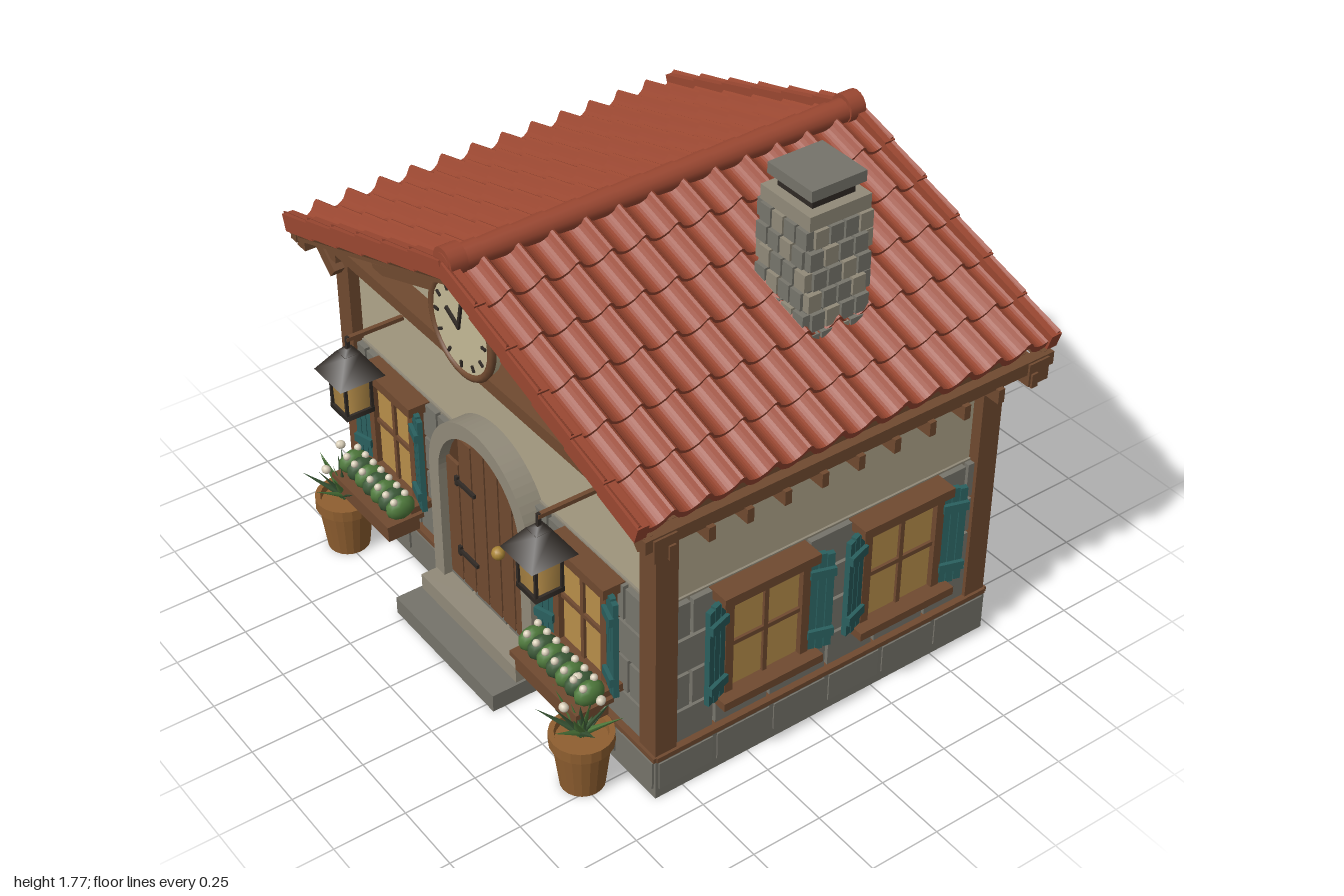
import * as THREE from 'three';

const C = { plaster: 0xb0a58a, stone: 0x77756c, mortar: 0x918a79, base: 0x75736a, wood: 0x704a30, darkWood: 0x573823,
  roof: 0x9a4731, teal: 0x2a605f, glass: 0xb88f4a, iron: 0x302a25, pot: 0x8f5f30, leaf: 0x3c5a38, bush: 0x4f7a3c, petal: 0xd8ceb8, brass: 0xa98436, dial: 0xc4b995 };
const mats = {};
const mat = (c) => mats[c] ??= new THREE.MeshStandardMaterial({ color: c, side: c === C.roof ? THREE.DoubleSide : THREE.FrontSide });
function add(parent, name, geo, color, x = 0, y = 0, z = 0) {
  const m = new THREE.Mesh(geo, mat(color));
  m.name = name;
  m.position.set(x, y, z);
  parent.add(m);
  return m;
}
const box = (p, name, c, w, h, d, x, y, z) => add(p, name, new THREE.BoxGeometry(w, h, d), c, x, y, z);
function group(parent, name, x = 0, y = 0, z = 0, ry = 0) {
  const g = new THREE.Group();
  g.name = name;
  g.position.set(x, y, z);
  g.rotation.y = ry;
  parent.add(g);
  return g;
}
// Beam between two points of a plane facing z
function beam(p, name, c, x1, y1, x2, y2, w, d, z) {
  const m = box(p, name, c, Math.hypot(x2 - x1, y2 - y1), w, d, (x1 + x2) / 2, (y1 + y2) / 2, z);
  m.rotation.z = Math.atan2(y2 - y1, x2 - x1);
}
const extrude = (shape, depth) => new THREE.ExtrudeGeometry(shape, { depth, bevelEnabled: false, curveSegments: 16 });
function archShape(r, y0, yc) {
  const s = new THREE.Shape();
  s.moveTo(-r, y0).lineTo(r, y0).lineTo(r, yc).absarc(0, yc, r, 0, Math.PI, false).lineTo(-r, y0);
  return s;
}

// Window with frame, cross bars and a pair of open plank shutters; z is outward
function makeWindow(wall, x, dist, s) {
  const g = group(wall, 'window', x, 0.51, dist);
  box(g, 'windowGlass', C.glass, 0.29 * s, 0.38, 0.03, 0, 0, 0.035);
  for (const k of [-1, 1]) box(g, 'windowJamb', C.wood, 0.03, 0.4, 0.06, k * 0.145 * s, 0, 0.04);
  box(g, 'windowHeader', C.wood, 0.36 * s, 0.035, 0.08, 0, 0.19, 0.05);
  box(g, 'windowSill', C.wood, 0.38 * s, 0.03, 0.1, 0, -0.2, 0.06);
  box(g, 'windowMullion', C.wood, 0.016, 0.38, 0.02, 0, 0, 0.05);
  box(g, 'windowBar', C.wood, 0.29 * s, 0.016, 0.02, 0, -0.01, 0.05);
  for (const k of [-1, 1]) {
    const sh = group(g, 'shutter', k * 0.2 * s, 0, 0.07, -k * 0.3);
    for (let i = -1; i <= 1; i++) box(sh, 'shutterPlank', C.teal, 0.024 * s, 0.38 - 0.012 * Math.abs(i), 0.018, i * 0.027 * s, 0, 0);
    for (const y of [-0.12, 0.12]) box(sh, 'shutterBatten', C.teal, 0.084 * s, 0.032, 0.016, 0, y, 0.014);
  }
}

// One wall face: base blocks, stone courses, rail and windows
function makeWall(house, name, halfW, dist, ry, windows, s) {
  const w = group(house, name, 0, 0, 0, ry);
  const n = Math.round(halfW * 2 / 0.21), step = halfW * 2 / n;
  for (let i = 0; i < n; i++) box(w, 'baseBlock', i % 3 ? C.base : C.stone, step - 0.018, 0.105, 0.03, -halfW + (i + 0.5) * step, 0.09, dist + 0.035);
  for (let r = 0; r < 4; r++) {
    let a = -halfW + 0.04;
    const end = halfW - 0.04;
    for (let i = 0; a < end - 0.01; i++) {
      const b = Math.min(end, a + (i === 0 && r % 2 ? 0.1 : 0.19 + 0.02 * ((i + r) % 3)));
      box(w, 'wallStone', (i * 2 + r) % 3 ? C.stone : C.base, b - a - 0.012, 0.128, 0.03, (a + b) / 2, 0.226 + r * 0.141, dist + 0.012);
      a = b;
    }
  }
  box(w, 'baseRail', C.wood, halfW * 2, 0.018, 0.04, 0, 0.16, dist + 0.03);
  for (const x of windows) makeWindow(w, x, dist, s);
}

// Rows of barrel tiles for one slope; local x runs down the slope
function makeSlope(house, ry) {
  const side = group(house, 'roofSlope', 0, 1.485, 0, ry);
  const g = group(side, 'tiledSlope');
  g.rotation.z = -0.35;
  const L = 1.02, rows = 6, len = L / rows, half = 0.785, pitch = half * 2 / 13;
  box(g, 'roofDeck', C.darkWood, L - 0.03, 0.03, half * 2 - 0.03, L / 2 - 0.015, -0.015, 0);
  const profile = (t) => t < 0.36 ? 0.022 + 0.026 * Math.sin(Math.PI * t / 0.36) : 0.022 - 0.018 * Math.sin(Math.PI * (t - 0.36) / 0.64);
  for (let r = 0; r < rows; r++) {
    const geo = new THREE.PlaneGeometry(1, 1, 13 * 14, 2), p = geo.attributes.position;
    for (let i = 0; i < p.count; i++) {
      const u = p.getX(i) + 0.5, v = Math.round((p.getY(i) + 0.5) * 2);
      const h = profile((u * 13 + 0.18) % 1);
      // v: 0 lower lip, 1 lower edge, 2 upper edge
      p.setXYZ(i, v === 2 ? r * len - 0.01 : (r + 1) * len, v === 0 ? h - 0.012 : h + (v === 1 ? 0.014 : 0), (0.5 - u) * -2 * half);
    }
    const flat = geo.toNonIndexed();
    flat.computeVertexNormals();
    add(g, 'tileRow', flat, C.roof);
    for (const k of [-1, 1]) {
      const v = box(g, 'vergeTile', C.roof, len + 0.015, 0.06, 0.04, (r + 0.5) * len, 0.018, k * 0.77);
      v.rotation.z = 0.05;
    }
  }
  // Fascia and rafter tails under the eaves
  box(side, 'fascia', C.wood, 0.035, 0.045, 1.53, 0.965, -0.382, 0);
  box(side, 'wallPlate', C.wood, 0.09, 0.05, 1.4, 0.87, -0.385, 0);
  for (let i = 0; i < 11; i++) box(side, 'rafterTail', C.wood, 0.17, 0.05, 0.024, 0.912, -0.425, -0.68 + i * 0.136);
}

// Gable truss, seen with z outward
function makeTruss(house, ry, clock) {
  const g = group(house, 'gableTruss', 0, 0, 0, ry);
  box(g, 'tieBeam', C.wood, 1.94, 0.045, 0.08, 0, 1.1, 0.66);
  box(g, 'kingPost', C.wood, 0.05, 0.33, 0.06, 0, 1.27, 0.65);
  for (const k of [-1, 1]) {
    beam(g, 'trussRafter', C.wood, 0, 1.43, k * 0.93, 1.1, 0.05, 0.07, 0.655);
    beam(g, 'trussStrut', C.wood, k * 0.03, 1.34, k * 0.62, 1.12, 0.035, 0.05, 0.645);
    beam(g, 'kneeBrace', C.wood, k * 0.84, 0.99, k * 0.96, 1.09, 0.045, 0.06, 0.67);
    beam(g, 'bargeBoard', C.wood, 0, 1.455, k * 0.96, 1.105, 0.045, 0.03, 0.745);
    box(g, 'beamEnd', C.wood, 0.05, 0.08, 0.08, k * 0.965, 1.08, 0.7);
  }
  if (!clock) return;
  const c = group(g, 'clock', 0, 1.27, 0.71);
  add(c, 'clockFace', new THREE.CylinderGeometry(0.165, 0.165, 0.04, 32), C.dial).rotation.x = Math.PI / 2;
  add(c, 'clockRim', new THREE.TorusGeometry(0.163, 0.014, 8, 32), C.wood, 0, 0, 0.015);
  for (let i = 0; i < 12; i++) {
    const a = i * Math.PI / 6;
    box(c, 'clockTick', C.iron, 0.009, 0.022, 0.008, 0.13 * Math.sin(a), 0.13 * Math.cos(a), 0.022).rotation.z = -a;
  }
  beam(c, 'hourHand', C.iron, 0, 0, -0.07, 0.04, 0.013, 0.008, 0.025);
  beam(c, 'minuteHand', C.iron, 0, 0, 0.022, 0.1, 0.01, 0.008, 0.028);
}

function makeDoor(house) {
  const d = group(house, 'door', 0, 0, 0.6);
  const frame = archShape(0.288, 0.12, 0.565);
  frame.holes.push(archShape(0.232, 0.121, 0.565));
  add(d, 'doorSurround', extrude(frame, 0.12), C.mortar, 0, 0, -0.02);
  add(d, 'doorBacking', extrude(archShape(0.234, 0.12, 0.565), 0.06), C.darkWood);
  for (let i = 0; i < 6; i++) {
    const x = -0.193 + i * 0.077, top = 0.555 + Math.sqrt(0.232 ** 2 - (Math.abs(x) + 0.03) ** 2);
    box(d, 'doorPlank', C.wood, 0.069, top - 0.14, 0.02, x, (top + 0.14) / 2, 0.062);
  }
  for (const y of [0.27, 0.56]) {
    box(d, 'hinge', C.iron, 0.11, 0.014, 0.012, -0.11, y, 0.076);
    box(d, 'hingePin', C.iron, 0.014, 0.036, 0.012, -0.16, y, 0.076);
  }
  add(d, 'doorKnob', new THREE.SphereGeometry(0.023, 12, 8), C.brass, 0.09, 0.435, 0.088);
  box(d, 'lowerStep', C.base, 0.58, 0.065, 0.3, 0, 0.0325, 0.105);
  box(d, 'upperStep', C.mortar, 0.56, 0.06, 0.2, 0, 0.095, 0.06);
}

// Lantern, planter and potted plant beside the door
function makeFrontDecor(root, k) {
  const l = group(root, 'lantern', k * 0.54, 0, 0.765);
  const four = (name, rt, rb, h, c, y) => add(l, name, new THREE.CylinderGeometry(rt * Math.SQRT2, rb * Math.SQRT2, h, 4).toNonIndexed(), c, 0, y, 0).rotation.y = Math.PI / 4;
  four('lanternGlass', 0.046, 0.042, 0.13, C.glass, 0.755);
  four('lanternBase', 0.052, 0.052, 0.018, C.iron, 0.688);
  four('lanternCollar', 0.052, 0.052, 0.018, C.iron, 0.822);
  four('lanternRoof', 0.028, 0.083, 0.08, C.iron, 0.866);
  four('lanternCap', 0.01, 0.028, 0.02, C.iron, 0.915);
  for (const i of [-1, 1]) for (const j of [-1, 1]) box(l, 'lanternBar', C.iron, 0.01, 0.14, 0.01, i * 0.046, 0.755, j * 0.046);
  box(l, 'lanternHook', C.iron, 0.012, 0.05, 0.012, 0, 0.94, 0);
  box(l, 'lanternArm', C.wood, 0.016, 0.014, 0.21, 0, 0.956, -0.1);

  const b = group(root, 'planter', k * 0.54, 0, 0.7);
  box(b, 'planterBox', C.wood, 0.33, 0.065, 0.12, 0, 0.26, 0);
  box(b, 'planterRim', C.wood, 0.36, 0.018, 0.14, 0, 0.292, 0);
  for (let i = 0; i < 7; i++) {
    const x = -0.15 + i * 0.05;
    add(b, 'bush', new THREE.IcosahedronGeometry(0.045, 1), i % 2 ? C.leaf : C.bush, x, 0.338, 0).scale.set(0.75, 0.95, 1.2);
    for (const z of [-0.025, 0.03]) add(b, 'blossom', new THREE.IcosahedronGeometry(0.013, 1), C.petal, x + z * 0.4, 0.378, z);
  }

  const p = group(root, 'pottedPlant', k * 0.7, 0, 0.737);
  const pts = [[0, 0], [0.072, 0], [0.092, 0.165], [0.103, 0.168], [0.103, 0.208], [0.085, 0.208], [0.082, 0.185], [0, 0.185]];
  add(p, 'pot', new THREE.LatheGeometry(pts.map((q) => new THREE.Vector2(...q)), 20).toNonIndexed(), C.pot).geometry.computeVertexNormals();
  for (let i = 0; i < 18; i++) {
    const tilt = 0.25 + 0.33 * (i % 3), len = 0.15 + 0.012 * (i % 3);
    const geo = new THREE.ConeGeometry(0.022, len, 5).scale(1, 1, 0.4).translate(0, len / 2, 0).rotateX(tilt);
    add(p, 'leaf', geo, i % 2 ? C.leaf : C.bush, 0, 0.2, 0).rotation.y = i * 2.4;
    if (i % 2) add(p, 'flower', new THREE.IcosahedronGeometry(0.015, 1), C.petal, 0.065 * Math.sin(i * 2.1), 0.345 + 0.012 * (i % 3), 0.065 * Math.cos(i * 2.1));
  }
}

function makeChimney(root) {
  const c = group(root, 'chimney', 0.525, 0, -0.24);
  box(c, 'chimneyCore', C.base, 0.215, 0.5, 0.215, 0, 1.4, 0);
  for (let f = 0; f < 4; f++) {
    const side = group(c, 'chimneySide', 0, 0, 0, f * Math.PI / 2);
    for (let r = 0; r < 6; r++) for (let i = 0; i < 4; i++) {
      const shift = r % 2 ? 0.008 : -0.008;
      box(side, 'chimneyBrick', (r + i + f) % 3 ? C.stone : C.mortar, 0.048, 0.06, 0.03, -0.084 + i * 0.056 + shift, 1.245 + r * 0.073, 0.112);
    }
  }
  box(c, 'chimneyCollar', C.mortar, 0.23, 0.05, 0.23, 0, 1.665, 0);
  box(c, 'chimneyNeck', C.iron, 0.16, 0.04, 0.16, 0, 1.705, 0);
  box(c, 'chimneyCap', C.base, 0.205, 0.038, 0.205, 0, 1.748, 0);
}

export function createModel() {
  const root = new THREE.Group();
  root.name = 'cottage';
  const house = group(root, 'house', 0, 0, -0.06);
  // Foundation and plastered body
  box(house, 'foundation', C.base, 1.79, 0.15, 1.325, 0, 0.075, 0);
  box(house, 'stoneWall', C.mortar, 1.715, 0.57, 1.255, 0, 0.435, 0);
  const s = new THREE.Shape([[-0.85, 0.15], [0.85, 0.15], [0.85, 1.13], [0, 1.44], [-0.85, 1.13]].map((q) => new THREE.Vector2(...q)));
  add(house, 'plasterBody', extrude(s, 1.24), C.plaster, 0, 0, -0.62);
  for (const x of [-0.85, 0.85]) for (const z of [-0.62, 0.62]) box(house, 'cornerPost', C.wood, 0.08, 0.98, 0.08, x, 0.6, z);

  makeWall(house, 'frontWall', 0.895, 0.62, 0, [-0.54, 0.54], 0.87);
  makeWall(house, 'backWall', 0.895, 0.62, Math.PI, [-0.4, 0.4], 1.25);
  makeWall(house, 'leftWall', 0.66, 0.85, Math.PI / 2, [-0.265, 0.265], 1);
  makeWall(house, 'rightWall', 0.66, 0.85, -Math.PI / 2, [-0.265, 0.265], 1);
  makeDoor(house);
  makeTruss(house, 0, true);
  makeTruss(house, Math.PI, false);
  makeSlope(house, 0);
  makeSlope(house, Math.PI);

  // Ridge tiles, each flared at one end, with wider end caps
  for (let i = 0; i < 13; i++) add(house, 'ridgeTile', new THREE.CylinderGeometry(0.04, 0.045, 0.125, 14), C.roof, 0, 1.515, -0.72 + i * 0.12).rotation.x = Math.PI / 2;
  for (const z of [-0.75, 0.75]) add(house, 'ridgeEnd', new THREE.CylinderGeometry(0.05, 0.05, 0.06, 16), C.roof, 0, 1.522, z).rotation.x = Math.PI / 2;

  makeChimney(root);
  for (const k of [-1, 1]) makeFrontDecor(root, k);
  return root;
}
